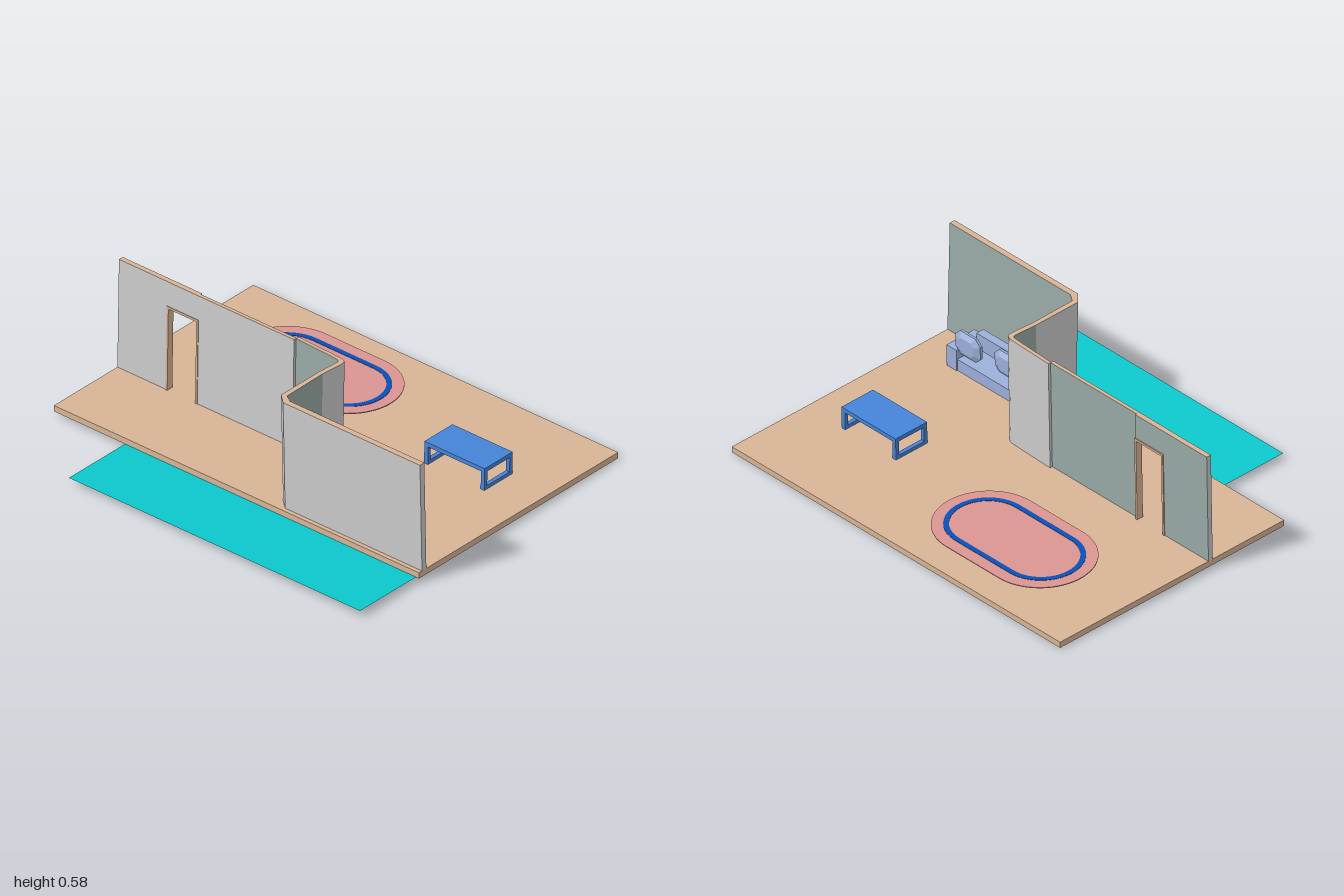
import * as THREE from 'three';

const COLORS = {
  tan: 0xd8b496, sage: 0x99aaa6, grey: 0xcccccc, teal: 0x0cc8cc,
  couch: 0x9bb0da, table: 0x4584d8, rug: 0xdb9592, stripe: 0x0a4fb8,
};
const mats = {};
for (const k in COLORS) {
  mats[k] = new THREE.MeshStandardMaterial({ color: COLORS[k], side: THREE.DoubleSide, flatShading: true });
}
const FLOOR = 0.0285, TOP = 0.556;

function add(parent, name, geo, mat) {
  const m = new THREE.Mesh(geo, mats[mat]);
  m.name = name;
  parent.add(m);
  return m;
}

// Box given by its limits on each axis
function box(parent, name, [x0, x1], [y0, y1], [z0, z1], mat) {
  const m = add(parent, name, new THREE.BoxGeometry(x1 - x0, y1 - y0, z1 - z0), mat);
  m.position.set((x0 + x1) / 2, (y0 + y1) / 2, (z0 + z1) / 2);
  return m;
}

// Strip of quads between two matching rows of points
function strip(parent, name, rowA, rowB, mat) {
  const pos = [];
  for (let i = 0; i < rowA.length - 1; i++) {
    const [a, b, c, d] = [rowA[i], rowA[i + 1], rowB[i + 1], rowB[i]];
    pos.push(...a, ...b, ...c, ...a, ...c, ...d);
  }
  const g = new THREE.BufferGeometry();
  g.setAttribute('position', new THREE.Float32BufferAttribute(pos, 3));
  g.computeVertexNormals();
  return add(parent, name, g, mat);
}

// Wall along a plan path [x, z]; room face, outer face, cap, underside and ends
function wall(parent, name, front, back, frontMat, backMat, y0 = FLOOR, y1 = TOP, lean = 0) {
  const g = new THREE.Group();
  g.name = name;
  parent.add(g);
  const row = (pts, y) => pts.map(([x, z]) =>
    [x + (x < -0.35 ? lean * (y - FLOOR) / (TOP - FLOOR) : 0), y, z]);
  const f0 = row(front, y0), f1 = row(front, y1), b0 = row(back, y0), b1 = row(back, y1);
  strip(g, 'roomFace', f0, f1, frontMat);
  strip(g, 'outerFace', b1, b0, backMat);
  strip(g, 'cap', f1, b1, 'tan');
  strip(g, 'underside', b0, f0, 'tan');
  const n = front.length - 1;
  strip(g, 'frontEnd', [b0[0], f0[0]], [b1[0], f1[0]], 'grey');
  strip(g, 'backEnd', [f0[n], b0[n]], [f1[n], b1[n]], 'grey');
}

// Stadium outline of radius r and straight half length h
function stadium(r, h, Type = THREE.Shape) {
  const s = new Type();
  s.moveTo(r, -h);
  s.lineTo(r, h);
  s.absarc(0, h, r, 0, Math.PI, false);
  s.lineTo(-r, -h);
  s.absarc(0, -h, r, Math.PI, Math.PI * 2, false);
  return s;
}

function flatShape(parent, name, shape, depth, y, mat) {
  const geo = new THREE.ExtrudeGeometry(shape, { depth, bevelEnabled: false, curveSegments: 20 });
  const m = add(parent, name, geo.rotateX(-Math.PI / 2), mat);
  m.position.set(0.46, y, -0.34);
}

// Faceted cushion with cut corners, standing in the yz plane
function cushion(parent, x, y, z, width, height) {
  const w = width / 2, h = height / 2, t = 0.02, c = 0.028;
  const ring = (s, px) => [[w, h - c], [w - c, h], [c - w, h], [-w, h - c], [-w, c - h], [c - w, -h], [w - c, -h], [w, c - h], [w, h - c]]
    .map(([a, b]) => [px, b * s, a * s]);
  const g = new THREE.Group();
  g.name = 'cushion';
  g.position.set(x, y, z);
  parent.add(g);
  const rings = [ring(0, -t), ring(0.62, -t), ring(1, -t * 0.3), ring(1, t * 0.3), ring(0.62, t), ring(0, t)];
  for (let i = 0; i < rings.length - 1; i++) strip(g, 'cushionFacet', rings[i + 1], rings[i], 'couch');
}

export function createModel() {
  const model = new THREE.Group();
  model.name = 'livingRoom';
  // The whole room leans slightly to one side
  const room = new THREE.Group();
  room.name = 'room';
  room.rotation.z = -0.019;
  room.position.y = 0.0156;
  model.add(room);

  // Floor slab and the square ground sheet under it
  box(room, 'floor', [-0.46, 0.82], [0, FLOOR], [-1, 1], 'tan');
  const sheet = add(room, 'groundSheet', new THREE.PlaneGeometry(1.595, 1.595), 'teal');
  sheet.rotation.x = -Math.PI / 2 - 0.0012;
  sheet.position.set(-0.0225, 0.0007, 0.1875);

  // Walls, from the front corner to the back
  wall(room, 'sideWall',
    [[-0.412, 1], [-0.412, 0.265], [-0.388, 0.228], [-0.18, 0.225]],
    [[-0.44, 1], [-0.44, 0.25], [-0.398, 0.203], [-0.18, 0.203]], 'sage', 'grey', FLOOR, TOP, -0.023);
  wall(room, 'cornerWall',
    [[-0.18, 0.225], [-0.07, 0.234], [-0.045, 0.23], [-0.034, 0.21], [-0.03, 0.15], [-0.023, -0.04]],
    [[-0.18, 0.203], [-0.07, 0.21], [-0.058, 0.207], [-0.052, 0.197], [-0.048, 0.14], [-0.04, -0.04]], 'grey', 'sage');
  const straight = (name, z0, z1, xf, xb, y0) =>
    wall(room, name, [[xf, z0], [xf, z1]], [[xb, z0], [xb, z1]], 'sage', 'grey', y0);
  const DOOR = [-0.73, -0.565], LINTEL = 0.434;
  straight('longWall', -0.04, DOOR[1], -0.036, -0.053, FLOOR);
  straight('doorLintel', DOOR[1], DOOR[0], -0.028, -0.053, LINTEL);
  straight('backWall', DOOR[0], -1, -0.028, -0.052, FLOOR);

  // Door frame
  const fx = [-0.056, -0.023];
  for (const z of [DOOR[0] - 0.004, DOOR[1] - 0.006]) {
    box(room, 'doorJamb', fx, [FLOOR, LINTEL + 0.004], [z, z + 0.01], 'tan');
  }
  box(room, 'doorHead', fx, [LINTEL - 0.007, LINTEL + 0.004], [DOOR[0], DOOR[1]], 'tan');

  // Couch with two cushions
  const couch = new THREE.Group();
  couch.name = 'couch';
  room.add(couch);
  box(couch, 'couchSeat', [-0.35, -0.235], [FLOOR, 0.085], [0.43, 0.75], 'couch');
  box(couch, 'couchBack', [-0.39, -0.35], [FLOOR, 0.16], [0.425, 0.755], 'couch');
  for (const z of [0.37, 0.75]) {
    box(couch, 'couchArm', [-0.39, -0.23], [FLOOR, 0.132], [z, z + 0.06], 'couch');
  }
  cushion(couch, -0.308, 0.137, 0.515, 0.155, 0.115);
  cushion(couch, -0.238, 0.185, 0.68, 0.15, 0.118);

  // Low table: top plus a frame at each end
  const table = new THREE.Group();
  table.name = 'table';
  room.add(table);
  box(table, 'tableTop', [0.218, 0.398], [0.115, 0.135], [0.45, 0.78], 'table');
  for (const z of [0.45, 0.76]) {
    for (const x of [0.218, 0.38]) {
      box(table, 'tableLeg', [x, x + 0.018], [FLOOR, 0.115], [z, z + 0.02], 'table');
    }
    box(table, 'tableFootRail', [0.236, 0.38], [FLOOR, 0.045], [z, z + 0.02], 'table');
  }

  // Oval rug with an inlaid stripe
  flatShape(room, 'rug', stadium(0.24, 0.16), 0.004, 0.046, 'rug');
  const stripe = stadium(0.185, 0.165);
  stripe.holes.push(stadium(0.161, 0.165, THREE.Path));
  flatShape(room, 'rugStripe', stripe, 0.005, 0.0465, 'stripe');

  return model;
}
